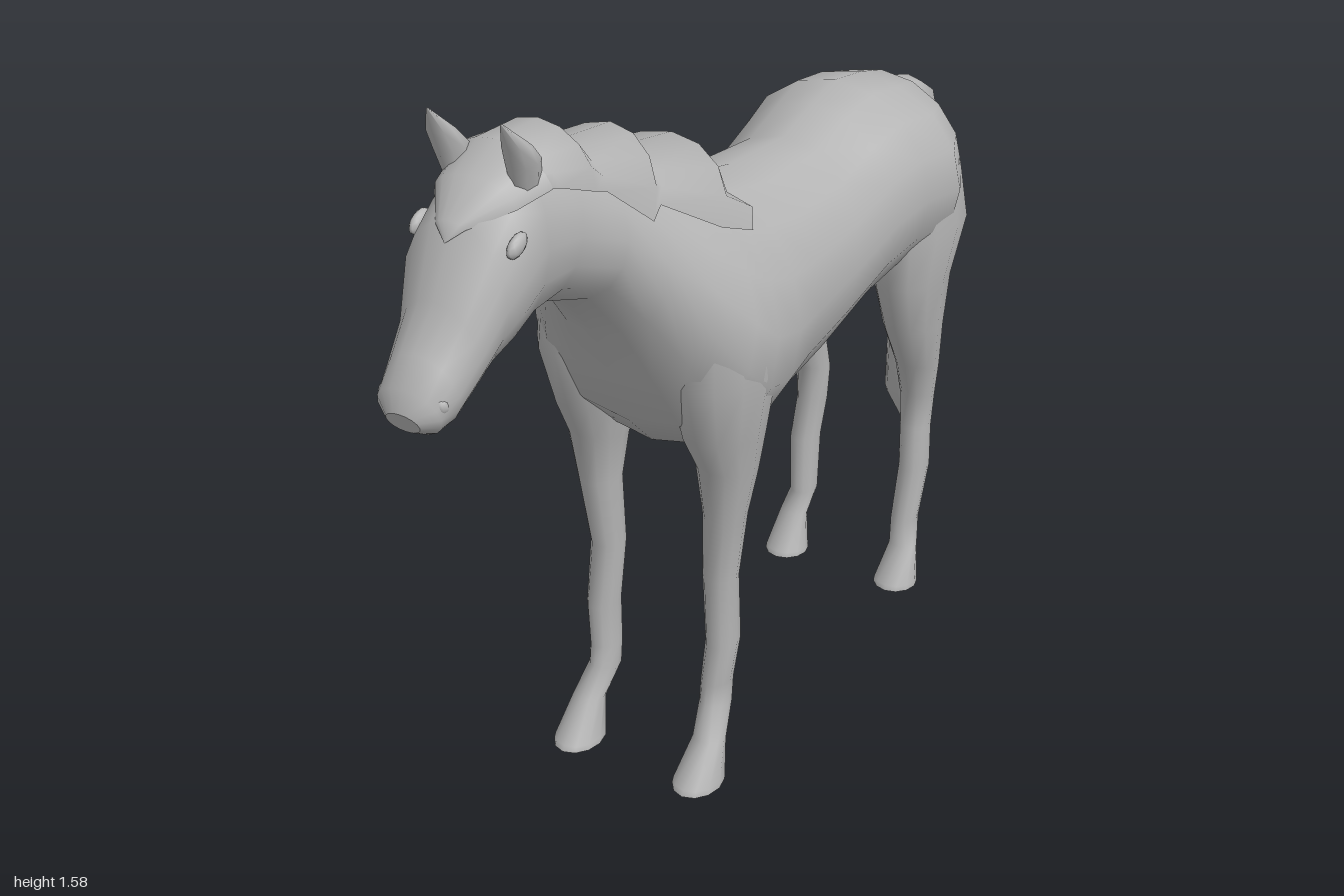
import * as THREE from 'three';

const coat = new THREE.MeshStandardMaterial({ color: 0xb4b4b4 });
coat.name = 'grey coat';
const hair = new THREE.MeshStandardMaterial({ color: 0xb4b4b4, side: THREE.DoubleSide });
hair.name = 'grey hair';

function toMesh(name, pos, idx, material) {
  const g = new THREE.BufferGeometry();
  g.setAttribute('position', new THREE.Float32BufferAttribute(pos, 3));
  g.setIndex(idx);
  g.computeVertexNormals();
  const mesh = new THREE.Mesh(g, material);
  mesh.name = name;
  return mesh;
}

// Closed skin over oval rings. Ring: [zA, yA, zB, yB, half width, centre x or egg].
// A and B are opposite points of the oval in the side plane.
function loft(name, rings, { side = 0, sides = 16 } = {}) {
  const pos = [], idx = [];
  const addRing = ([zA, yA, zB, yB, w, e = 0]) => {
    for (let j = 0; j < sides; j++) {
      const t = (j / sides) * Math.PI * 2, c = Math.cos(t);
      const egg = side ? 1 : 1 - e * c;
      pos.push(side * e + w * Math.sin(t) * egg,
        (yA + yB) / 2 + (c * (yA - yB)) / 2, (zA + zB) / 2 + (c * (zA - zB)) / 2);
    }
  };
  rings.forEach(addRing);
  for (let i = 0; i < rings.length - 1; i++) {
    for (let j = 0; j < sides; j++) {
      const a = i * sides + j, b = i * sides + (j + 1) % sides;
      idx.push(a, b, a + sides, b, b + sides, a + sides);
    }
  }
  // End caps with their own vertices, so their rims stay crisp
  [rings[0], rings[rings.length - 1]].forEach((r, k) => {
    const s = pos.length / 3;
    addRing(r);
    pos.push(side * (r[5] || 0), (r[1] + r[3]) / 2, (r[0] + r[2]) / 2);
    for (let j = 0; j < sides; j++) {
      const a = s + j, b = s + (j + 1) % sides;
      if (k) idx.push(a, b, s + sides); else idx.push(b, a, s + sides);
    }
  });
  // Turn the faces outward if the signed volume is negative
  let vol = 0;
  const p = (i) => new THREE.Vector3().fromArray(pos, i * 3);
  for (let i = 0; i < idx.length; i += 3) vol += p(idx[i]).dot(p(idx[i + 1]).cross(p(idx[i + 2])));
  if (vol < 0) idx.reverse();
  return toMesh(name, pos, idx, coat);
}

// Sheet draped over a ridge. Row: [zRidge, yRidge, zEdge, yEdge, half width, zigzag].
function drape(name, rows, n = 8) {
  const pos = [], idx = [];
  rows.forEach(([zT, yT, zE, yE, w, zig = 0], i) => {
    for (let j = 0; j <= n; j++) {
      const a = (j / n - 0.5) * Math.PI, c = Math.cos(a);
      pos.push(w * Math.sin(a), yE + (yT - yE) * c, zE + (zT - zE) * c + (j % 2) * zig);
      if (i && j) {
        const q = i * (n + 1) + j, r = q - n - 1;
        idx.push(r - 1, r, q - 1, r, q, q - 1);
      }
    }
  });
  return toMesh(name, pos, idx, hair);
}

export function createModel() {
  const horse = new THREE.Group();
  horse.name = 'horse';

  // Trunk, neck and head as one skin, from rump to muzzle
  horse.add(loft('body', [
    [-0.80, 1.11, -0.81, 1.0, 0.05],
    [-0.785, 1.17, -0.79, 0.91, 0.14],
    [-0.72, 1.215, -0.74, 0.84, 0.2],
    [-0.62, 1.24, -0.62, 0.79, 0.25],
    [-0.5, 1.257, -0.49, 0.8, 0.235],
    [-0.4, 1.235, -0.38, 0.775, 0.215],
    [-0.28, 1.2, -0.19, 0.72, 0.205],
    [-0.06, 1.213, 0, 0.71, 0.23],
    [0.05, 1.235, 0.13, 0.705, 0.25, 0.08],
    [0.13, 1.26, 0.24, 0.73, 0.256, 0.15],
    [0.18, 1.28, 0.32, 0.81, 0.245, 0.2],
    [0.25, 1.315, 0.38, 0.93, 0.2, 0.2],
    [0.36, 1.36, 0.43, 1.04, 0.145, 0.15],
    [0.46, 1.4, 0.52, 1.15, 0.12, 0.1],
    [0.58, 1.46, 0.64, 1.19, 0.108],
    [0.7, 1.505, 0.72, 1.175, 0.108],
    [0.77, 1.465, 0.78, 1.155, 0.112],
    [0.83, 1.41, 0.83, 1.135, 0.106, -0.1],
    [0.89, 1.29, 0.87, 1.11, 0.085],
    [0.95, 1.22, 0.91, 1.08, 0.074],
    [0.985, 1.17, 0.955, 1.077, 0.066],
    [0.997, 1.13, 0.98, 1.09, 0.035],
  ]));

  // Tail, hanging to a point
  horse.add(loft('tail', [
    [-0.74, 1.19, -0.76, 1.08, 0.06],
    [-0.80, 1.18, -0.8, 1.075, 0.066],
    [-0.855, 1.165, -0.825, 1.065, 0.06],
    [-0.94, 1.118, -0.843, 1.04, 0.05],
    [-0.98, 1.0, -0.855, 0.99, 0.048],
    [-0.97, 0.76, -0.865, 0.75, 0.052],
    [-1.0, 0.465, -0.875, 0.48, 0.06],
    [-1.0, 0.33, -0.875, 0.33, 0.061],
    [-0.936, 0.215, -0.934, 0.215, 0.001],
  ], { sides: 10 }));

  // Mane in three stepped locks, ragged at the withers
  horse.add(drape('mane', [
    [0.75, 1.475, 0.74, 1.45, 0.06],
    [0.7, 1.512, 0.68, 1.44, 0.113],
    [0.58, 1.512, 0.58, 1.4, 0.117],
    [0.54, 1.455, 0.55, 1.39, 0.117],
    [0.36, 1.435, 0.43, 1.295, 0.135],
    [0.36, 1.385, 0.41, 1.32, 0.137],
    [0.155, 1.35, 0.25, 1.225, 0.168],
    [0.165, 1.285, 0.15, 1.185, 0.176, -0.025],
  ]));

  // Forelock, a pointed flap on the brow
  horse.add(drape('forelock', [
    [0.70, 1.512, 0.69, 1.44, 0.105],
    [0.775, 1.472, 0.765, 1.425, 0.085],
    [0.838, 1.414, 0.835, 1.402, 0.03],
    [0.852, 1.38, 0.852, 1.38, 0.001],
  ]));

  for (const side of [1, -1]) {
    const label = side > 0 ? 'left' : 'right';

    horse.add(loft(label + 'FrontLeg', [
      [0.34, 1.02, 0.1, 1.02, 0.1, 0.145],
      [0.35, 0.92, 0.09, 0.92, 0.1, 0.15],
      [0.312, 0.79, 0.11, 0.77, 0.078, 0.148],
      [0.272, 0.71, 0.135, 0.68, 0.06, 0.152],
      [0.255, 0.59, 0.155, 0.59, 0.044, 0.149],
      [0.24, 0.44, 0.16, 0.44, 0.036, 0.136],
      [0.25, 0.29, 0.165, 0.3, 0.034, 0.146],
      [0.258, 0.2, 0.174, 0.2, 0.031, 0.137],
      [0.264, 0.155, 0.18, 0.14, 0.031, 0.137],
      [0.3, 0.09, 0.235, 0.08, 0.035, 0.149],
      [0.37, 0.012, 0.243, 0.01, 0.05, 0.148],
      [0.375, 0, 0.245, 0, 0.051, 0.148],
    ], { side, sides: 12 }));

    horse.add(loft(label + 'HindLeg', [
      [-0.48, 1.05, -0.76, 1.05, 0.1, 0.13],
      [-0.48, 0.92, -0.785, 0.92, 0.098, 0.145],
      [-0.495, 0.8, -0.725, 0.79, 0.078, 0.148],
      [-0.535, 0.68, -0.712, 0.66, 0.062, 0.15],
      [-0.595, 0.57, -0.725, 0.54, 0.046, 0.148],
      [-0.64, 0.475, -0.738, 0.45, 0.038, 0.138],
      [-0.645, 0.385, -0.73, 0.37, 0.034, 0.138],
      [-0.63, 0.28, -0.715, 0.28, 0.034, 0.146],
      [-0.615, 0.145, -0.69, 0.145, 0.031, 0.137],
      [-0.6, 0.09, -0.65, 0.085, 0.035, 0.149],
      [-0.542, 0.012, -0.645, 0.01, 0.05, 0.148],
      [-0.538, 0, -0.647, 0, 0.051, 0.148],
    ], { side, sides: 12 }));

    // Pricked ear
    horse.add(loft(label + 'Ear', [
      [0.745, 1.44, 0.685, 1.46, 0.022, 0.07],
      [0.758, 1.49, 0.695, 1.5, 0.03, 0.074],
      [0.77, 1.53, 0.725, 1.53, 0.028, 0.077],
      [0.785, 1.578, 0.782, 1.578, 0.002, 0.074],
    ], { side, sides: 8 }));

    // Almond eye and nostril
    const bump = (name, x, y, z, sx, sy, sz, tilt) => {
      const m = new THREE.Mesh(new THREE.SphereGeometry(1, 10, 8), coat);
      m.name = label + name;
      m.position.set(side * x, y, z);
      m.scale.set(sx, sy, sz);
      m.rotation.x = tilt;
      horse.add(m);
    };
    bump('Eye', 0.1, 1.375, 0.79, 0.012, 0.017, 0.028, 0.5);
    bump('Nostril', 0.057, 1.142, 0.957, 0.013, 0.016, 0.013, 0.4);
  }
  return horse;
}
